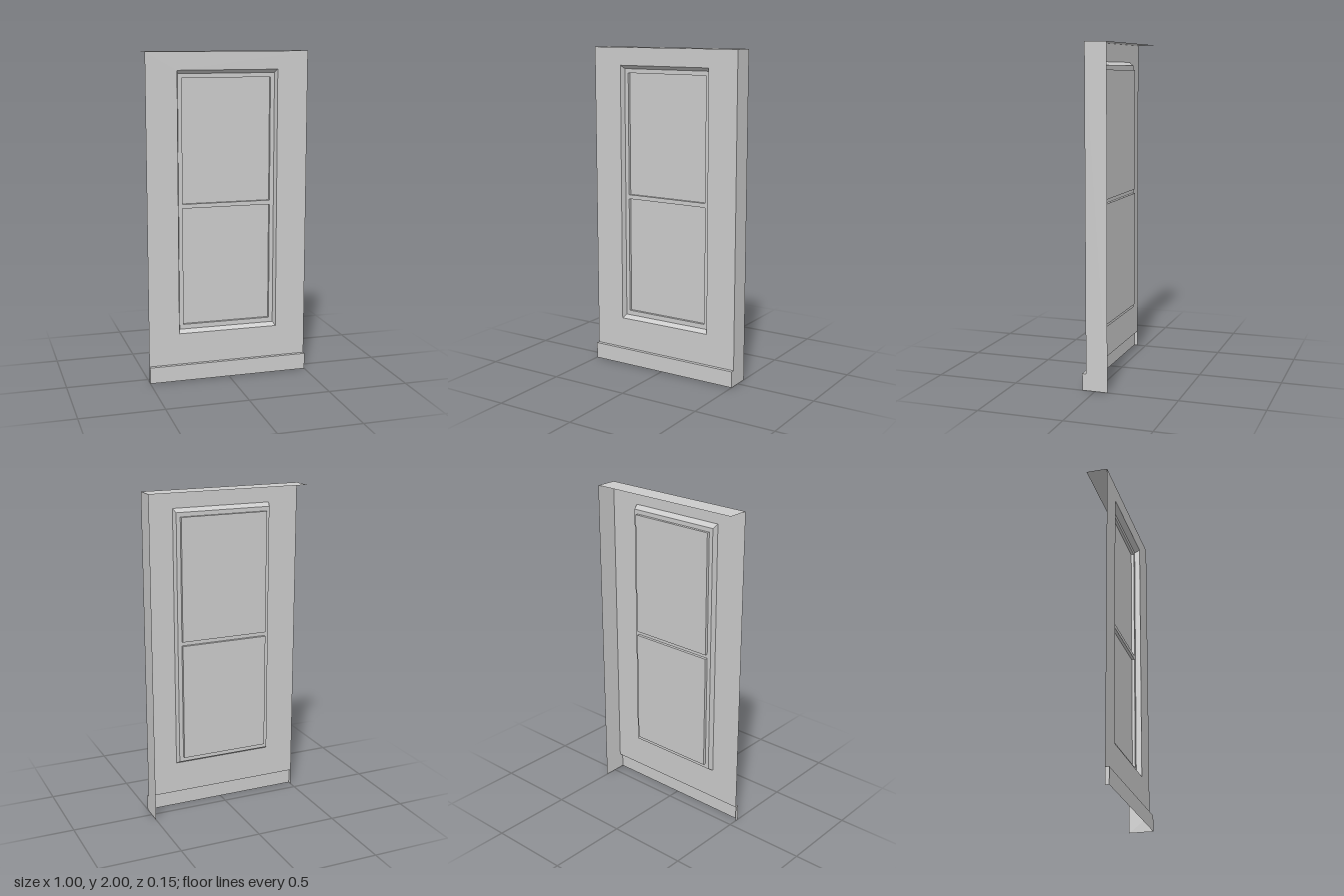
import * as THREE from 'three';

// Depths from back to front
const BACK = -0.077, PANE = 0.004, SASH = 0.022, WALL = 0.054, FRONT = 0.077;
// Rectangles: left, bottom, right, top
const OUTER = [-0.5, 0.1, 0.5, 2];
const OPENING = [-0.31, 0.294, 0.31, 1.892];
const FRAME = [-0.3, 0.313, 0.3, 1.871];
const PANES = [[-0.275, 0.342, 0.275, 1.066], [-0.275, 1.092, 0.275, 1.845]];

const material = new THREE.MeshStandardMaterial({
  color: 0xcccccc, flatShading: true, side: THREE.DoubleSide,
});

// Corners of a rectangle, anticlockwise seen from the front
const corners = ([l, b, r, t]) => [[l, b], [r, b], [r, t], [l, t]];
const points = (rect) => corners(rect).map(([x, y]) => new THREE.Vector2(x, y));

function named(name, geometry) {
  const mesh = new THREE.Mesh(geometry, material);
  mesh.name = name;
  return mesh;
}

// Flat sheet facing the front, with rectangular holes
function sheet(name, rect, z, holes = []) {
  const shape = new THREE.Shape(points(rect));
  for (const hole of holes) shape.holes.push(new THREE.Path(points(hole).reverse()));
  return named(name, new THREE.ShapeGeometry(shape).translate(0, 0, z));
}

// Four-sided reveal running from a front rectangle back to a rear one
function reveal(name, front, zFront, rear, zRear) {
  const f = corners(front).map(([x, y]) => [x, y, zFront]);
  const r = corners(rear).map(([x, y]) => [x, y, zRear]);
  const vertices = [];
  for (let i = 0; i < 4; i++) {
    const j = (i + 1) % 4;
    vertices.push(...f[i], ...f[j], ...r[j], ...f[i], ...r[j], ...r[i]);
  }
  const geometry = new THREE.BufferGeometry();
  geometry.setAttribute('position', new THREE.Float32BufferAttribute(vertices, 3));
  geometry.computeVertexNormals();
  return named(name, geometry);
}

// Upward-facing strip across the full width
function ledge(name, y, z0, z1) {
  const geometry = new THREE.PlaneGeometry(1, z1 - z0).rotateX(-Math.PI / 2);
  return named(name, geometry.translate(0, y, (z0 + z1) / 2));
}

// End face from a (z, y) profile, facing +x or -x
function endFace(name, x, profile) {
  const shape = new THREE.Shape(profile.map(([z, y]) => new THREE.Vector2(-z, y)));
  const geometry = new THREE.ShapeGeometry(shape).rotateY(Math.PI / 2);
  if (x < 0) geometry.rotateY(Math.PI).scale(1, 1, -1);
  if (x < 0) {
    // Mirroring flips the winding, so swap it back
    const index = geometry.index.array;
    for (let i = 0; i < index.length; i += 3) [index[i], index[i + 1]] = [index[i + 1], index[i]];
    geometry.computeVertexNormals();
  }
  return named(name, geometry.translate(x, 0, 0));
}

export function createModel() {
  const model = new THREE.Group();
  model.name = 'windowWall';

  // Wall shell: open at the back, underneath and on its right side
  model.add(
    sheet('wallFront', OUTER, WALL, [OPENING]),
    ledge('wallTop', 2, BACK, WALL),
    endFace('wallLeftSide', 0.5, [
      [BACK, 0], [FRONT, 0], [FRONT, 0.1], [WALL, 0.1], [WALL, 2], [BACK, 2],
    ]),
  );

  // Projecting baseboard
  model.add(
    sheet('baseboardFront', [-0.5, 0, 0.5, 0.1], FRONT),
    ledge('baseboardTop', 0.1, WALL, FRONT),
    endFace('baseboardRightEnd', -0.5, [[WALL, 0], [FRONT, 0], [FRONT, 0.1], [WALL, 0.1]]),
  );

  // Recessed window with two sunken panes
  const window = new THREE.Group();
  window.name = 'window';
  window.add(
    reveal('windowReveal', OPENING, WALL, FRAME, SASH),
    sheet('windowSash', FRAME, SASH, PANES),
  );
  ['lower', 'upper'].forEach((level, i) => {
    window.add(
      reveal(`${level}PaneEdge`, PANES[i], SASH, PANES[i], PANE),
      sheet(`${level}Pane`, PANES[i], PANE),
    );
  });
  model.add(window);
  return model;
}
